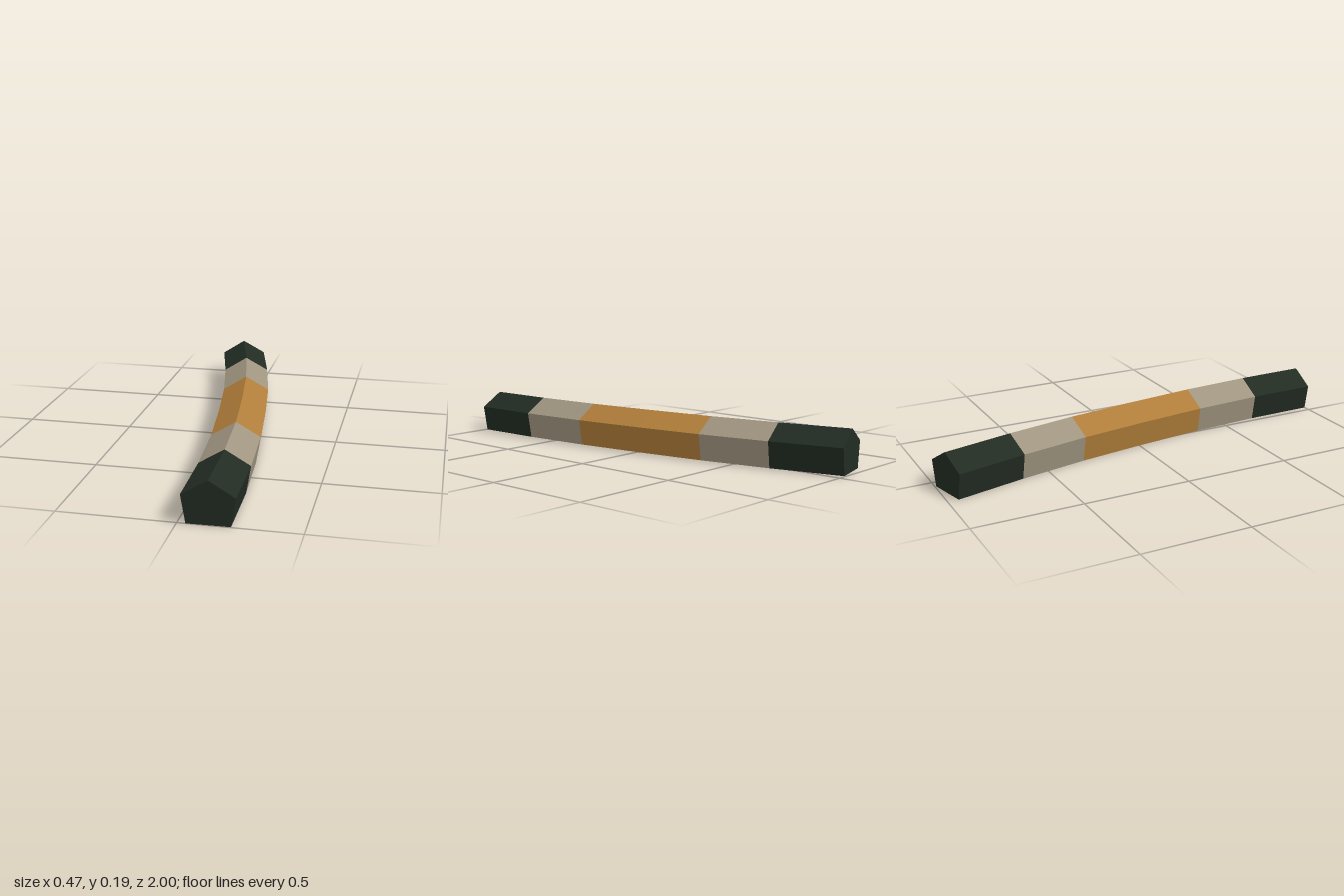
import * as THREE from 'three';

// Pentagonal cross-section, counter-clockwise seen from the front
const SECTION = [[0, 0.187], [-0.11, 0.121], [-0.09, 0], [0.09, 0], [0.11, 0.121]];

// Centre line from front to back: x, z and turn of each ring in degrees
const PATH = [
  [0.125, 0.998, 1.2], [0.118, 0.667, 2.6], [0.095, 0.333, 5], [0.056, 0, 7.4],
  [0.009, -0.325, 9.6], [-0.055, -0.65, 12.2], [-0.133, -0.973, 13.7],
];

const rings = PATH.map(([cx, cz, deg]) => {
  const a = THREE.MathUtils.degToRad(deg);
  return SECTION.map(([u, v]) => [cx + u * Math.cos(a), v, cz - u * Math.sin(a)]);
});

// Skins the rings from index first to last, with optional end caps
function bandGeometry(first, last) {
  const pos = [];
  const tri = (...corners) => corners.forEach((c) => pos.push(...c));
  const n = SECTION.length;
  for (let r = first; r < last; r++) {
    const a = rings[r], b = rings[r + 1];
    for (let i = 0; i < n; i++) {
      const j = (i + 1) % n;
      tri(a[i], b[i], a[j]);
      tri(a[j], b[i], b[j]);
    }
  }
  for (let i = 1; i < n - 1; i++) {
    if (first === 0) tri(rings[0][0], rings[0][i], rings[0][i + 1]);
    if (last === rings.length - 1) tri(rings[last][0], rings[last][i + 1], rings[last][i]);
  }
  const geometry = new THREE.BufferGeometry();
  geometry.setAttribute('position', new THREE.Float32BufferAttribute(pos, 3));
  geometry.computeVertexNormals();
  return geometry;
}

export function createModel() {
  const material = (name, color) => {
    const m = new THREE.MeshStandardMaterial({ color });
    m.name = name;
    return m;
  };
  const dark = material('dark green', 0x222c23);
  const beige = material('beige', 0xa09580);
  const ochre = material('ochre', 0xb17e3a);

  // Coloured bands along the curved bar
  const group = new THREE.Group();
  group.name = 'curvedBar';
  const bands = [
    ['frontEnd', 0, 1, dark], ['frontBand', 1, 2, beige], ['middleGrip', 2, 4, ochre],
    ['backBand', 4, 5, beige], ['backEnd', 5, 6, dark],
  ];
  for (const [name, first, last, mat] of bands) {
    const mesh = new THREE.Mesh(bandGeometry(first, last), mat);
    mesh.name = name;
    group.add(mesh);
  }
  return group;
}
